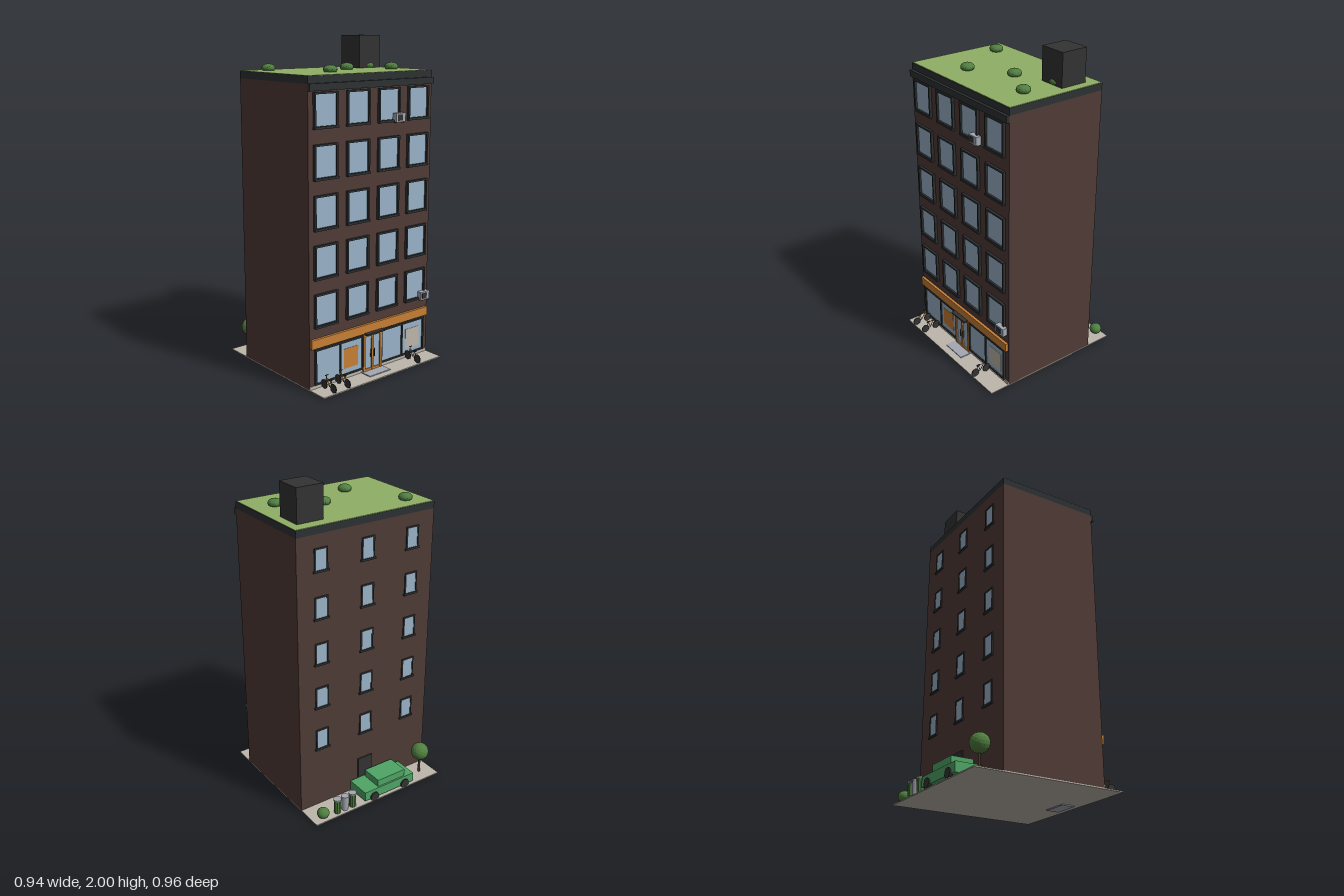
import * as THREE from 'three';

const mat = (name, color, flatShading = false) => {
  const m = new THREE.MeshStandardMaterial({ color, flatShading });
  m.name = name;
  return m;
};

export function createModel() {
  const brick = mat('brick brown', 0x4f3b35);
  const dark = mat('charcoal', 0x333333);
  const trim = mat('slate trim', 0x2d3133);
  const glass = mat('window glass', 0x9ab4c9);
  const orange = mat('orange', 0xc87f36);
  const stone = mat('pavement beige', 0xbdb6ab);
  const grass = mat('roof green', 0x8fae65);
  const carGreen = mat('car green', 0x4fa566);
  const leaf = mat('foliage green', 0x507f40, true);
  const metal = mat('metal grey', 0xa3a8b3);

  const model = new THREE.Group();
  model.name = 'cityBuilding';

  const add = (parent, name, geo, material, x = 0, y = 0, z = 0) => {
    const m = new THREE.Mesh(geo, material);
    m.name = name;
    m.position.set(x, y, z);
    parent.add(m);
    return m;
  };
  // box given by its limits on each axis
  const box = (parent, name, material, x0, x1, y0, y1, z0, z1) =>
    add(parent, name, new THREE.BoxGeometry(x1 - x0, y1 - y0, z1 - z0), material,
      (x0 + x1) / 2, (y0 + y1) / 2, (z0 + z1) / 2);
  const group = (name, x = 0, y = 0, z = 0, parent = model) => {
    const g = new THREE.Group();
    g.name = name;
    g.position.set(x, y, z);
    parent.add(g);
    return g;
  };
  // straight round bar between two points
  const bar = (parent, name, material, a, b, r) => {
    const p = new THREE.Vector3(...a), q = new THREE.Vector3(...b);
    const d = q.clone().sub(p);
    const m = add(parent, name, new THREE.CylinderGeometry(r, r, d.length(), 6), material);
    m.position.copy(p).add(q).multiplyScalar(0.5);
    m.quaternion.setFromUnitVectors(new THREE.Vector3(0, 1, 0), d.normalize());
  };
  const bush = (parent, name, x, y, z, r, ry = r) =>
    add(parent, name, new THREE.IcosahedronGeometry(r, 2), leaf, x, y, z).scale.y = ry / r;

  // Ground and main block
  const W = 0.472, F = 0.34, B = -0.305;
  box(model, 'pavement', stone, -W, W, 0.006, 0.013, -0.475, 0.47);
  box(model, 'doorStep', metal, -0.083, 0.083, 0, 0.018, F, 0.425);
  box(model, 'walls', brick, -W, W, 0.013, 1.755, B, F);
  box(model, 'plinth', stone, -W, W, 0.013, 0.032, F, F + 0.005);

  // Roof
  box(model, 'parapet', trim, -W, W, 1.755, 1.797, B, F);
  box(model, 'cornice', trim, -W, W, 1.717, 1.757, F, 0.358);
  box(model, 'roofLawn', grass, -W + 0.002, W - 0.002, 1.797, 1.8, B + 0.002, F - 0.004);
  box(model, 'roofHousing', dark, 0.245, 0.415, 1.8, 2, -0.23, -0.06);
  for (const [x, z] of [[-0.35, -0.19], [0.085, 0.007], [-0.165, 0.155], [0.33, 0.137], [0.338, -0.092]])
    bush(model, 'roofBush', x, 1.815, z, 0.042, 0.026);

  // Window with raised frame and sill, facing +z
  const makeWindow = (name, w, h, t, depth, sill) => {
    const g = group(name);
    box(g, 'pane', glass, -w + t, w - t, -h + t, h - t, 0, 0.004);
    for (const s of [-1, 1]) {
      box(g, 'frameSide', trim, s * (w - t / 2) - t / 2, s * (w - t / 2) + t / 2, -h, h, 0, depth);
      box(g, 'frameBar', trim, -w + t, w - t, s * (h - t / 2) - t / 2, s * (h - t / 2) + t / 2, 0, depth);
    }
    box(g, 'sill', trim, -w - sill, w + sill, -h - 0.004, -h + 0.008, 0, depth + 0.004);
    return g;
  };
  for (let floor = 0; floor < 5; floor++) {
    const y = 0.48 + floor * 0.283;
    for (const x of [-0.354, -0.118, 0.118, 0.354])
      makeWindow('frontWindow', 0.084, 0.098, 0.011, 0.016, 0.001).position.set(x, y, F);
    for (const x of [-0.316, 0, 0.316]) {
      const w = makeWindow('backWindow', 0.044, 0.068, 0.009, 0.007, 0.007);
      w.position.set(x, y - 0.003, B);
      w.rotation.y = Math.PI;
    }
  }

  // Shop front
  const shop = group('shopFront');
  box(shop, 'signBand', orange, -0.466, 0.462, 0.26, 0.315, F, 0.357);
  box(shop, 'doorCanopy', dark, -0.07, 0.07, 0.255, 0.264, F, 0.385);
  for (const s of [-1, 1]) {
    box(shop, 'shopGlass', glass, Math.min(s * 0.075, s * 0.435), Math.max(s * 0.075, s * 0.435), 0.04, 0.245, F, 0.346);
    for (const x of [0.076, 0.249, 0.432])
      box(shop, 'shopMullion', trim, s * x - 0.005, s * x + 0.005, 0.036, 0.25, F, 0.354);
    for (const y of [0.04, 0.246])
      box(shop, 'shopRail', trim, s * 0.254 - 0.184, s * 0.254 + 0.184, y - 0.005, y + 0.005, F, 0.354);
  }
  box(shop, 'orangePoster', orange, -0.22, -0.11, 0.076, 0.2, 0.346, 0.348);
  box(shop, 'beigePoster', stone, 0.282, 0.4, 0.072, 0.2, 0.346, 0.348);

  // Double entrance door
  const door = group('entranceDoor');
  box(door, 'doorGlass', glass, -0.066, 0.066, 0.018, 0.245, F, 0.349);
  for (const x of [-0.066, 0, 0.066])
    box(door, 'doorPost', orange, x - 0.007, x + 0.007, 0.018, 0.255, F, 0.357);
  for (const y of [0.025, 0.243])
    box(door, 'doorRail', orange, -0.066, 0.066, y - 0.007, y + 0.007, F, 0.356);
  for (const x of [-0.012, 0.012])
    box(door, 'doorHandle', dark, x - 0.002, x + 0.002, 0.1, 0.15, 0.349, 0.361);

  // Back service door
  box(model, 'backDoor', dark, -0.052, 0.052, 0.013, 0.228, B - 0.008, B);

  // Air conditioners
  for (const [x, y] of [[0.187, 1.534], [0.422, 0.4]]) {
    const g = group('airConditioner', x, y, F);
    box(g, 'case', metal, -0.037, 0.037, -0.025, 0.027, 0.004, 0.036);
    box(g, 'grille', dark, -0.027, 0.013, -0.017, 0.019, 0.036, 0.038);
    for (const s of [-1, 1])
      box(g, 'bracket', dark, s * 0.025 - 0.003, s * 0.025 + 0.003, -0.03, -0.025, 0, 0.036);
  }

  // Bicycles parked nose to the shop
  [[-0.39, orange], [-0.285, orange], [0.283, metal]].forEach(([x, paint]) => {
    const g = group('bicycle', x, 0.013, 0.412);
    for (const z of [-0.04, 0.043])
      add(g, 'wheel', new THREE.CylinderGeometry(0.028, 0.028, 0.005, 8), dark, 0, 0.028, z).rotation.z = Math.PI / 2;
    const rear = [0, 0.028, 0.043], crank = [0, 0.028, 0.006], seat = [0, 0.068, 0.018],
      head = [0, 0.07, -0.022], front = [0, 0.028, -0.04];
    for (const [a, b] of [[rear, crank], [rear, seat], [crank, seat], [crank, head], [seat, head], [head, front]])
      bar(g, 'frameTube', paint, a, b, 0.0025);
    bar(g, 'stem', paint, head, [0, 0.09, -0.018], 0.0025);
    bar(g, 'handlebar', dark, [-0.012, 0.09, -0.018], [0.012, 0.09, -0.018], 0.0025);
    box(g, 'saddle', dark, -0.004, 0.004, 0.068, 0.075, 0.008, 0.03);
  });

  // Parked car
  const car = group('car');
  box(car, 'carBody', carGreen, -0.265, 0.112, 0.03, 0.09, -0.47, -0.313);
  box(car, 'carCabin', carGreen, -0.2, 0.007, 0.09, 0.136, -0.46, -0.322);
  for (const x of [-0.195, 0.042])
    for (const z of [-0.467, -0.318])
      add(car, 'carWheel', new THREE.CylinderGeometry(0.031, 0.031, 0.022, 10), dark, x, 0.04, z).rotation.x = Math.PI / 2;

  // Tree, shrub and bins behind the building
  const tree = group('tree', -0.38, 0, -0.392);
  add(tree, 'trunk', new THREE.CylinderGeometry(0.007, 0.009, 0.12, 6), brick, 0, 0.07, 0);
  bush(tree, 'crown', 0, 0.167, 0, 0.057);
  bush(model, 'shrub', 0.4, 0.048, -0.435, 0.038, 0.034);
  [0.187, 0.244, 0.3].forEach((x, i) => {
    const g = group('bin', x, 0.013, -0.44);
    add(g, 'binBody', new THREE.CylinderGeometry(0.023, 0.021, 0.09, 10), i === 1 ? metal : leaf, 0, 0.045, 0);
    add(g, 'binLid', new THREE.CylinderGeometry(0.025, 0.025, 0.008, 10), metal, 0, 0.094, 0);
  });

  return model;
}
